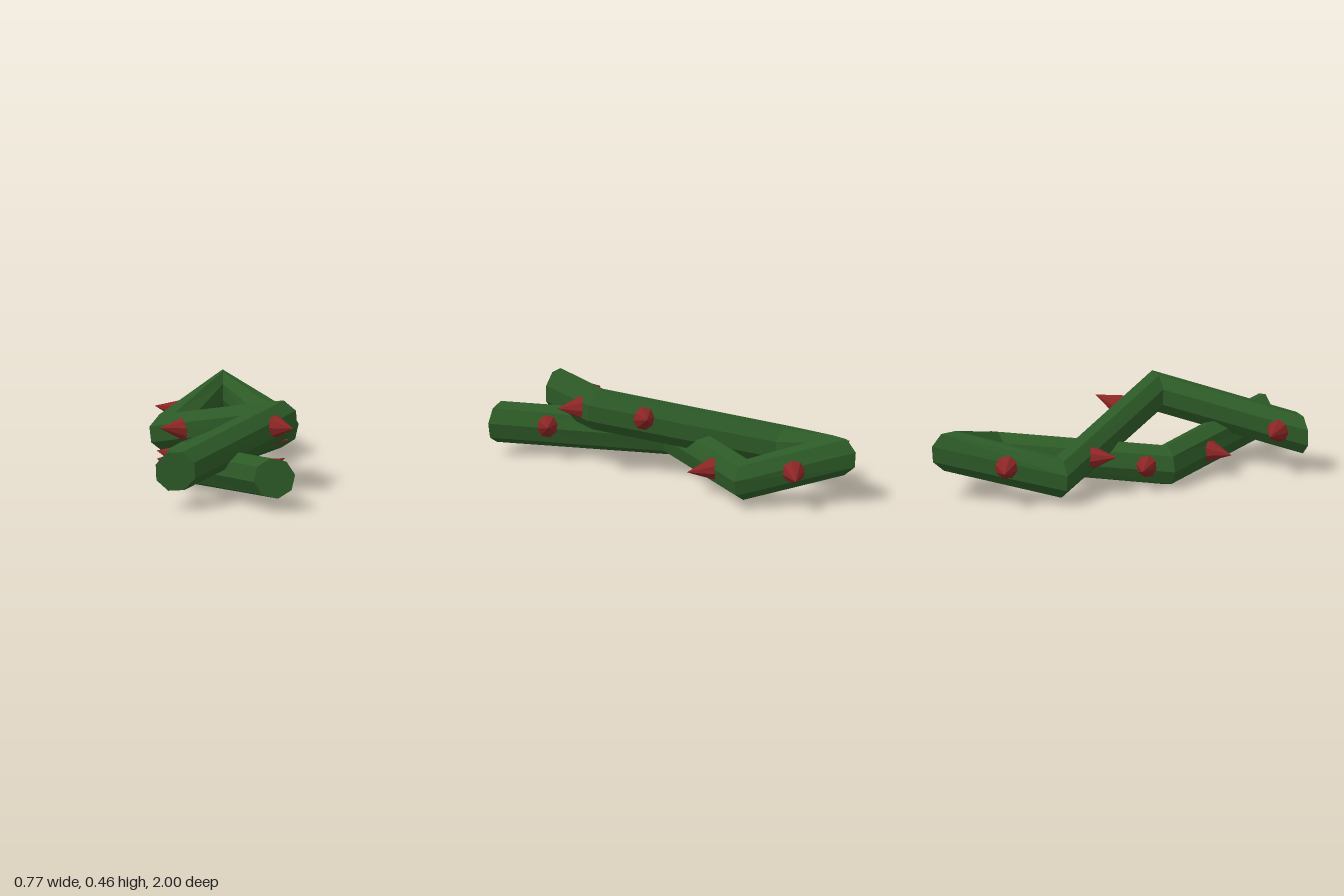
import * as THREE from 'three';

const RADIUS = 0.108, SIDES = 8;
const V = (x, y, z) => new THREE.Vector3(x, y, z);

// Joints of the folded vine: centre, sideways axis of the mitre plane, twist in degrees
const X = V(1, 0, 0), Z = V(0, 0, 1), NX = V(-1, 0, 0);
const joints = [
  { c: V(-0.267, 0.205, 0.965), u: X, twist: 25 },
  { c: V(0.265, 0.36, 0.39), u: X, twist: 27 },
  { c: V(-0.28, 0.138, -0.41), u: X, twist: 29 },
  { c: V(0, 0.265, -0.9), u: Z, twist: 27 },
  { c: V(0.28, 0.145, -0.505), u: NX, twist: 35 },
  { c: V(-0.213, 0.108, 0.23), u: NX, twist: 38 },
  { c: V(0.243, 0.174, 1.0), u: NX, twist: 35 },
];

// Eight-sided tube through the mitred joints, capped at both ends
function vineGeometry() {
  const points = [], index = [];
  for (const { c, u, twist } of joints) {
    for (let i = 0; i < SIDES; i++) {
      const a = THREE.MathUtils.degToRad(twist + (i * 360) / SIDES);
      const p = c.clone().addScaledVector(u, RADIUS * Math.cos(a));
      p.y += RADIUS * Math.sin(a);
      points.push(p);
    }
  }
  for (let j = 0; j < joints.length - 1; j++) {
    for (let i = 0; i < SIDES; i++) {
      const a = j * SIDES + i, b = j * SIDES + ((i + 1) % SIDES);
      index.push(a, a + SIDES, b, b, a + SIDES, b + SIDES);
    }
  }
  const last = (joints.length - 1) * SIDES;
  for (let i = 1; i < SIDES - 1; i++) {
    index.push(0, i, i + 1, last, last + i + 1, last + i);
  }
  const indexed = new THREE.BufferGeometry().setFromPoints(points);
  indexed.setIndex(index);
  const geometry = indexed.toNonIndexed();
  geometry.computeVertexNormals();
  return geometry;
}

// Thorns: vine segment they grow from, and tip position
const thorns = [
  [0, V(-0.36, 0.23, 0.75)],
  [0, V(0.345, 0.352, 0.585)],
  [1, V(0.305, 0.37, 0.07)],
  [1, V(-0.335, 0.22, -0.11)],
  [2, V(-0.352, 0.21, -0.755)],
  [3, V(0.312, 0.2, -0.83)],
  [4, V(0.33, 0.14, -0.185)],
  [4, V(-0.352, 0.13, 0.03)],
  [5, V(-0.25, 0.125, 0.585)],
  [5, V(0.302, 0.215, 0.67)],
];

export function createModel() {
  const group = new THREE.Group();
  const green = new THREE.MeshStandardMaterial({ color: 0x2d5a27, flatShading: true });
  const red = new THREE.MeshStandardMaterial({ color: 0x8b2525, flatShading: true });

  const vine = new THREE.Mesh(vineGeometry(), green);
  vine.name = 'vine';
  group.add(vine);

  // Each thorn stands square to its segment, its base sunk into the vine
  for (const [segment, tip] of thorns) {
    const axis = new THREE.Line3(joints[segment].c, joints[segment + 1].c);
    const foot = axis.closestPointToPoint(tip, true, V(0, 0, 0));
    const out = tip.clone().sub(foot);
    const reach = out.length();
    out.normalize();
    const height = reach - 0.065;
    const thorn = new THREE.Mesh(new THREE.ConeGeometry(0.062, height, 8), red);
    thorn.name = 'thorn';
    thorn.position.copy(tip).addScaledVector(out, -height / 2);
    thorn.quaternion.setFromUnitVectors(V(0, 1, 0), out);
    group.add(thorn);
  }
  return group;
}
